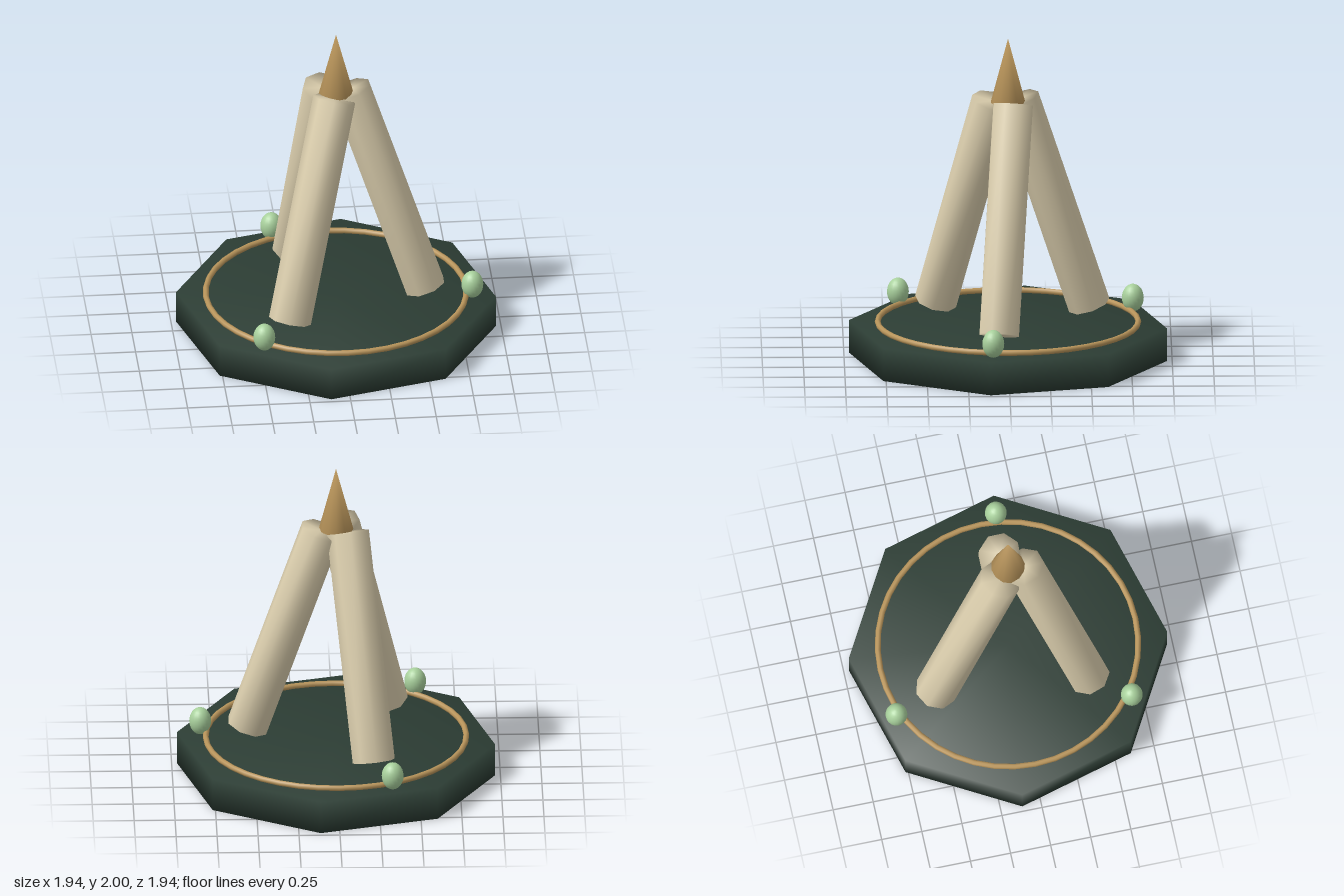
import * as THREE from 'three';
import { mergeVertices } from 'three/addons/utils/BufferGeometryUtils.js';

// Weld all corners so the shading runs smoothly over the edges
function soften(geometry) {
  geometry.deleteAttribute('uv');
  geometry.deleteAttribute('normal');
  const welded = mergeVertices(geometry, 1e-4);
  welded.computeVertexNormals();
  return welded;
}

function addPart(parent, name, geometry, color) {
  const mesh = new THREE.Mesh(geometry, new THREE.MeshStandardMaterial({ color }));
  mesh.name = name;
  parent.add(mesh);
  return mesh;
}

export function createModel() {
  const model = new THREE.Group();
  model.name = 'tripodMonument';
  const DARK = 0x2c3d34, BONE = 0xdccfae, BRASS = 0xb8945a, GREEN = 0xa8d09c;
  const TWIST = 0.12;

  // Eight-sided plinth
  const base = addPart(model, 'base', soften(new THREE.CylinderGeometry(0.975, 0.975, 0.205, 8)), DARK);
  base.position.y = 0.1025;
  base.rotation.y = -TWIST;

  // Thin ring lying on the plinth
  const ring = addPart(model, 'ring', new THREE.TorusGeometry(0.795, 0.018, 8, 40), BRASS);
  ring.rotation.x = Math.PI / 2;
  ring.position.y = 0.222;

  // Three leaning pillars, each with an egg-shaped bead in front of it
  const foot = new THREE.Vector3(0.54, 0.27, 0.06);
  const head = new THREE.Vector3(0.09, 1.605, -0.03);
  const axis = head.clone().sub(foot);
  const pillarGeometry = soften(
    new THREE.CylinderGeometry(0.13, 0.13, axis.length(), 8).rotateY(Math.PI / 8));
  const beadGeometry = new THREE.SphereGeometry(1, 20, 14);

  for (let i = 0; i < 3; i++) {
    const arm = new THREE.Group();
    arm.name = 'arm' + (i + 1);
    arm.rotation.y = -i * Math.PI * 2 / 3;
    model.add(arm);

    const pillar = addPart(arm, 'pillar', pillarGeometry, BONE);
    pillar.position.copy(foot).add(head).multiplyScalar(0.5);
    pillar.quaternion.setFromUnitVectors(new THREE.Vector3(0, 1, 0), axis.clone().normalize());

    const bead = addPart(arm, 'bead', beadGeometry, GREEN);
    bead.scale.set(0.067, 0.086, 0.067);
    bead.position.set(0.832 * Math.cos(TWIST), 0.288, 0.832 * Math.sin(TWIST));
  }

  // Pointed finial where the pillars meet
  const finial = addPart(model, 'finial', soften(new THREE.ConeGeometry(0.106, 0.4, 12)), BRASS);
  finial.position.y = 1.8;

  return model;
}
